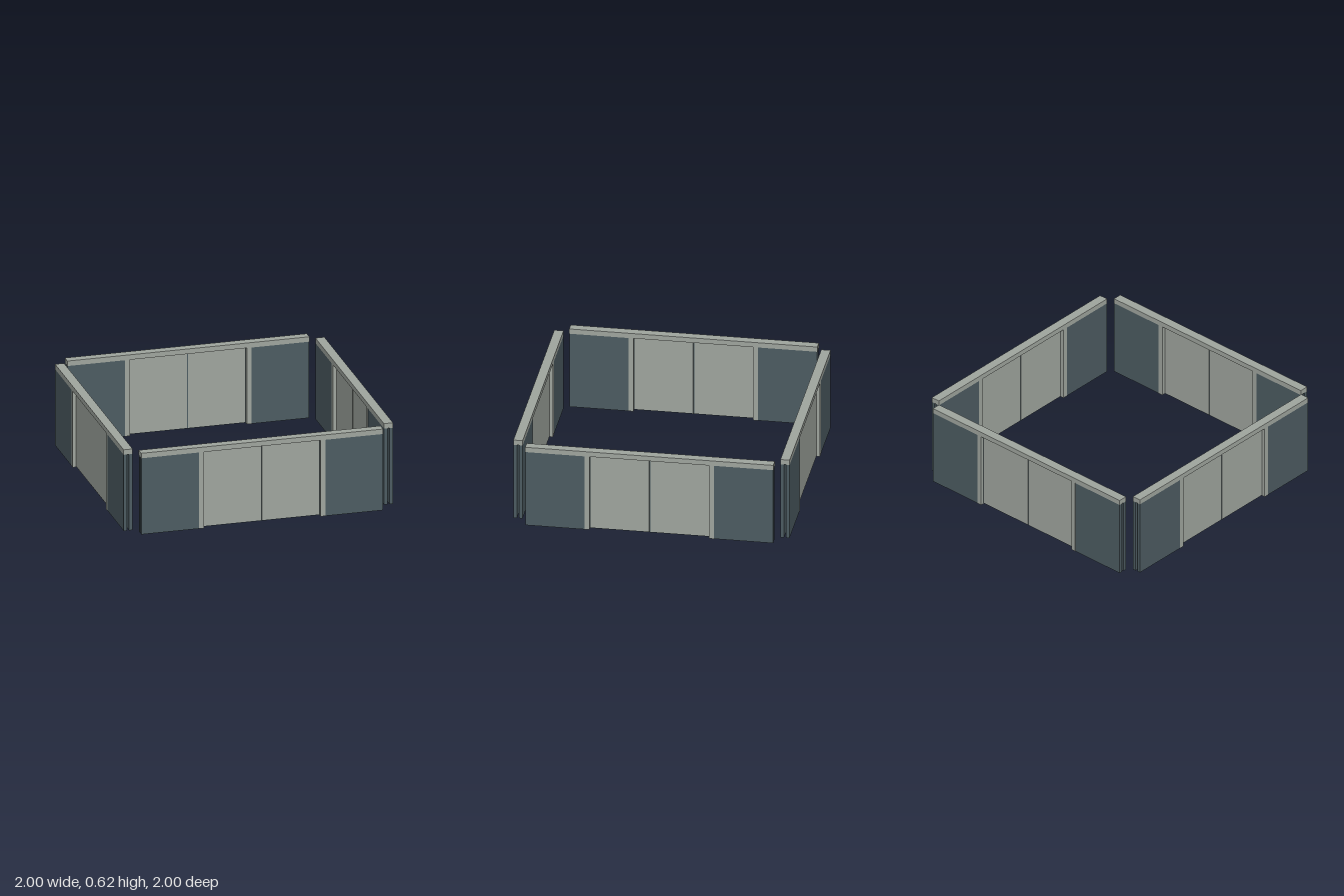
import * as THREE from 'three';

const stone = new THREE.MeshStandardMaterial({ color: 0xa0a69f });
stone.name = 'pale grey';
const slate = new THREE.MeshStandardMaterial({ color: 0x4d5c62 });
slate.name = 'dark slate';

// Box given by its limits on each axis
function box(name, material, [x0, x1], [y0, y1], [z0, z1]) {
  const mesh = new THREE.Mesh(new THREE.BoxGeometry(x1 - x0, y1 - y0, z1 - z0), material);
  mesh.position.set((x0 + x1) / 2, (y0 + y1) / 2, (z0 + z1) / 2);
  mesh.name = name;
  return mesh;
}

// One wall, built around its own centre plane z = 0
function createWall() {
  const wall = new THREE.Group();
  const half = 0.0335;
  wall.add(box('header', stone, [-0.898, 0.898], [0.582, 0.62], [-half, half]));

  for (const side of [-1, 1]) {
    const span = (a, b) => (side > 0 ? [a, b] : [-b, -a]);
    wall.add(box('doorPost', stone, span(0.434, 0.47), [0, 0.582], [-half, half]));
    // Hollow side section: an outer and an inner sheet
    for (const face of [-1, 1]) {
      const depth = face > 0 ? [0.0075, half - 0.001] : [-half + 0.001, -0.0075];
      wall.add(box('sidePanel', slate, span(0.47, 0.897), [0, 0.582], depth));
    }
    // Recessed sliding door leaf
    wall.add(box('doorLeaf', stone, span(0.004, 0.429), [0.008, 0.576], [-0.01, 0.01]));
  }
  // Dark seal showing in the gaps around the leaves
  wall.add(box('doorSeal', slate, [-0.434, 0.434], [0.002, 0.582], [-0.006, 0.006]));
  return wall;
}

export function createModel() {
  const model = new THREE.Group();
  ['frontWall', 'leftWall', 'backWall', 'rightWall'].forEach((name, i) => {
    const wall = createWall();
    const angle = (i * Math.PI) / 2;
    wall.name = name;
    wall.rotation.y = angle;
    wall.position.set(Math.sin(angle) * 0.9665, 0, Math.cos(angle) * 0.9665);
    model.add(wall);
  });
  return model;
}
